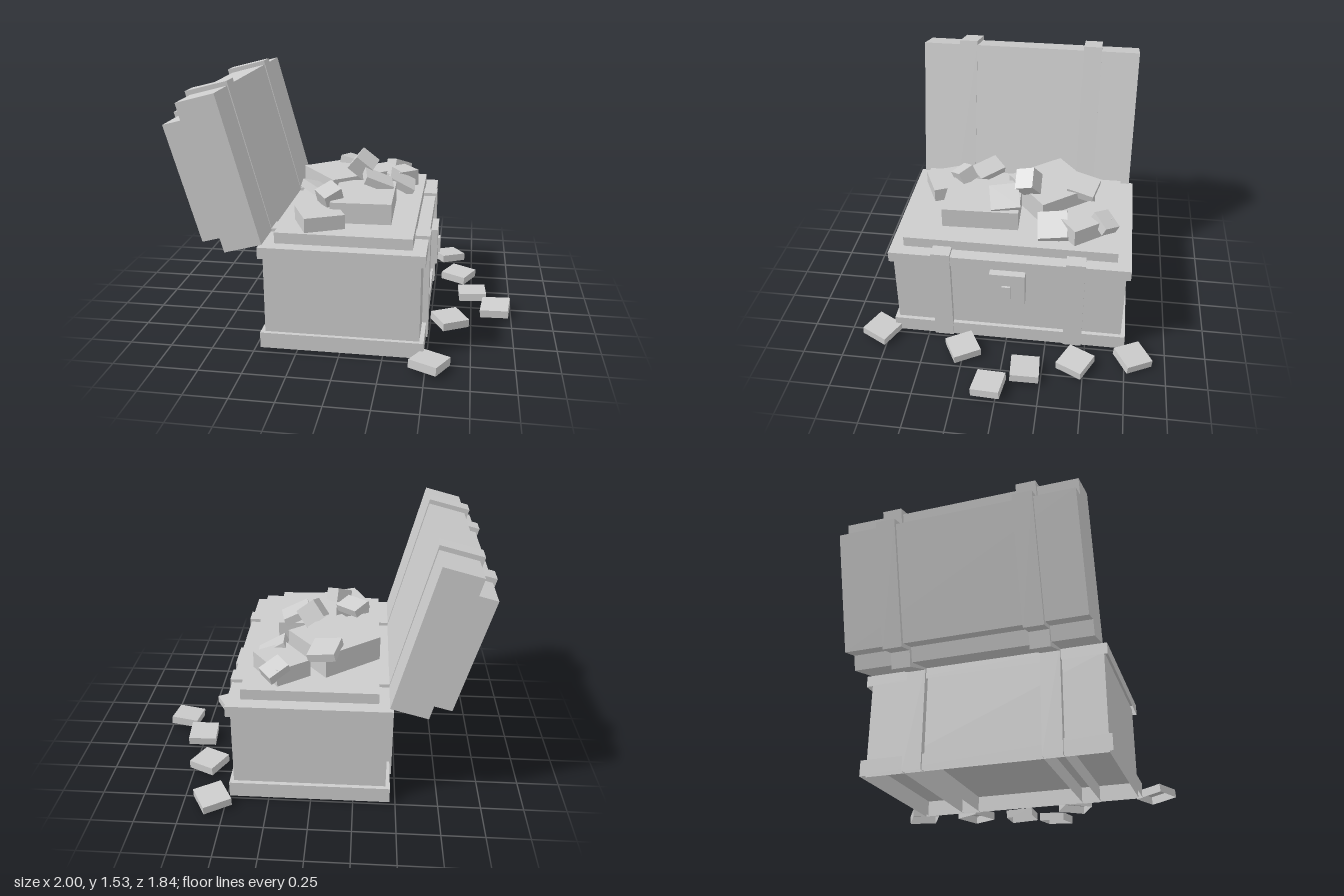
import * as THREE from 'three';

export function createModel() {
  const model = new THREE.Group();
  model.name = 'treasureChest';
  const grey = new THREE.MeshStandardMaterial({ color: 0xcccccc, side: THREE.DoubleSide });
  grey.name = 'pale grey';

  const add = (name, geometry, parent = model) => {
    const mesh = new THREE.Mesh(geometry, grey);
    mesh.name = name;
    parent.add(mesh);
    return mesh;
  };
  // Box left open underneath: drops the six indices of the bottom face
  const openBox = (w, h, d) => {
    const geo = new THREE.BoxGeometry(w, h, d);
    const kept = Array.from(geo.index.array).filter((v, i) => i < 18 || i >= 24);
    geo.setIndex(kept);
    geo.clearGroups();
    return geo;
  };
  // Open box given by its limits on each axis
  const span = (name, x0, x1, y0, y1, z0, z1) => {
    const m = add(name, openBox(x1 - x0, y1 - y0, z1 - z0));
    m.position.set((x0 + x1) / 2, (y0 + y1) / 2, (z0 + z1) / 2);
  };
  // Open box given by centre, size and rotation (yaw first, then tilt)
  const block = (name, [x, y, z], [w, h, d], [rx, ry, rz], parent) => {
    const m = add(name, openBox(w, h, d), parent);
    m.position.set(x, y, z);
    m.rotation.set(rx, ry, rz, 'XZY');
  };
  // Side profile extruded between two depths
  const profile = (name, pts, z0, z1) => {
    const shape = new THREE.Shape(pts.map(([x, y]) => new THREE.Vector2(x, y)));
    const geo = new THREE.ExtrudeGeometry(shape, { depth: z1 - z0, bevelEnabled: false });
    add(name, geo.translate(0, 0, z0));
  };

  // Chest body and rims, hollow underneath
  span('body', -0.44, 0.458, 0.015, 0.6, -0.72, 0.695);
  span('topRim', -0.466, 0.483, 0.573, 0.64, -0.746, 0.719);
  span('baseRim', -0.466, 0.483, 0.015, 0.11, -0.746, 0.719);

  // Lock
  span('lockPlate', 0.45, 0.522, 0.341, 0.566, -0.12, 0.096);
  span('lockLatch', 0.515, 0.537, 0.39, 0.486, -0.033, 0.019);

  // Open lid, stepped at both outer corners
  profile('lid', [[-0.674, 1.503], [-0.896, 1.444], [-0.871, 1.348], [-0.976, 1.32],
    [-0.789, 0.647], [-0.687, 0.674], [-0.664, 0.588], [-0.445, 0.647]], -0.72, 0.692);

  // Straps around body and lid
  for (const z of [0.397, -0.418]) {
    span('bodyStrap', -0.48, 0.493, 0.015, 0.66, z - 0.058, z + 0.058);
    profile('lidStrap', [[-0.675, 1.53], [-0.926, 1.465], [-0.9, 1.368], [-1, 1.342],
      [-0.805, 0.62], [-0.703, 0.647], [-0.682, 0.553], [-0.44, 0.64]], z - 0.058, z + 0.058);
  }

  // Treasure: a base slab, large chunks, then small tilted pieces
  const pile = new THREE.Group();
  pile.name = 'treasurePile';
  model.add(pile);
  block('treasureBase', [0.01, 0.67, -0.012], [0.79, 0.07, 1.3], [0, 0, 0], pile);
  const chunks = [
    [[-0.108, 0.775, -0.22], [0.4, 0.155, 0.395], 0.67],
    [[0.075, 0.765, 0.195], [0.36, 0.13, 0.47], 0.03],
    [[0.19, 0.755, -0.44], [0.225, 0.11, 0.275], 0.65],
    [[-0.155, 0.745, 0.46], [0.24, 0.09, 0.25], 0.43],
  ];
  for (const [p, s, yaw] of chunks) block('treasureChunk', p, s, [0, yaw, 0], pile);
  const pieces = [
    [[0.03, 0.925, -0.085], [0.13, 0.12, 0.12], [0.5, -0.3, -0.6]],
    [[-0.065, 0.85, -0.425], [0.17, 0.05, 0.17], [-0.1, -0.24, -0.22]],
    [[-0.21, 0.84, 0.21], [0.12, 0.05, 0.19], [-0.15, 0.78, -0.3]],
    [[-0.115, 0.85, 0.348], [0.12, 0.09, 0.11], [0.45, 0.75, 0.1]],
    [[0.14, 0.86, 0.05], [0.18, 0.05, 0.18], [0, 0.2, -0.4]],
    [[0.26, 0.765, -0.26], [0.18, 0.05, 0.18], [0.1, 0.05, -0.5]],
    [[0.215, 0.79, -0.57], [0.135, 0.06, 0.11], [-0.4, 0.72, -0.15]],
  ];
  for (const [p, s, r] of pieces) block('treasurePiece', p, s, r, pile);

  // Square coins on the ground: x, z, yaw, tilt x, tilt z
  const coins = [
    [0.577, -0.8, 0.53, -0.08, 0],
    [0.66, -0.45, -0.47, 0.02, -0.02],
    [0.755, -0.15, 0.06, -0.05, 0.04],
    [0.902, 0.052, -0.11, 0.07, 0.09],
    [0.619, 0.254, 0.51, 0.02, -0.03],
    [0.522, 0.797, -0.44, -0.08, -0.04],
  ];
  for (const [x, z, yaw, tx, tz] of coins)
    block('groundCoin', [x, 0.042, z], [0.175, 0.05, 0.175], [tx, yaw, tz]);

  return model;
}
